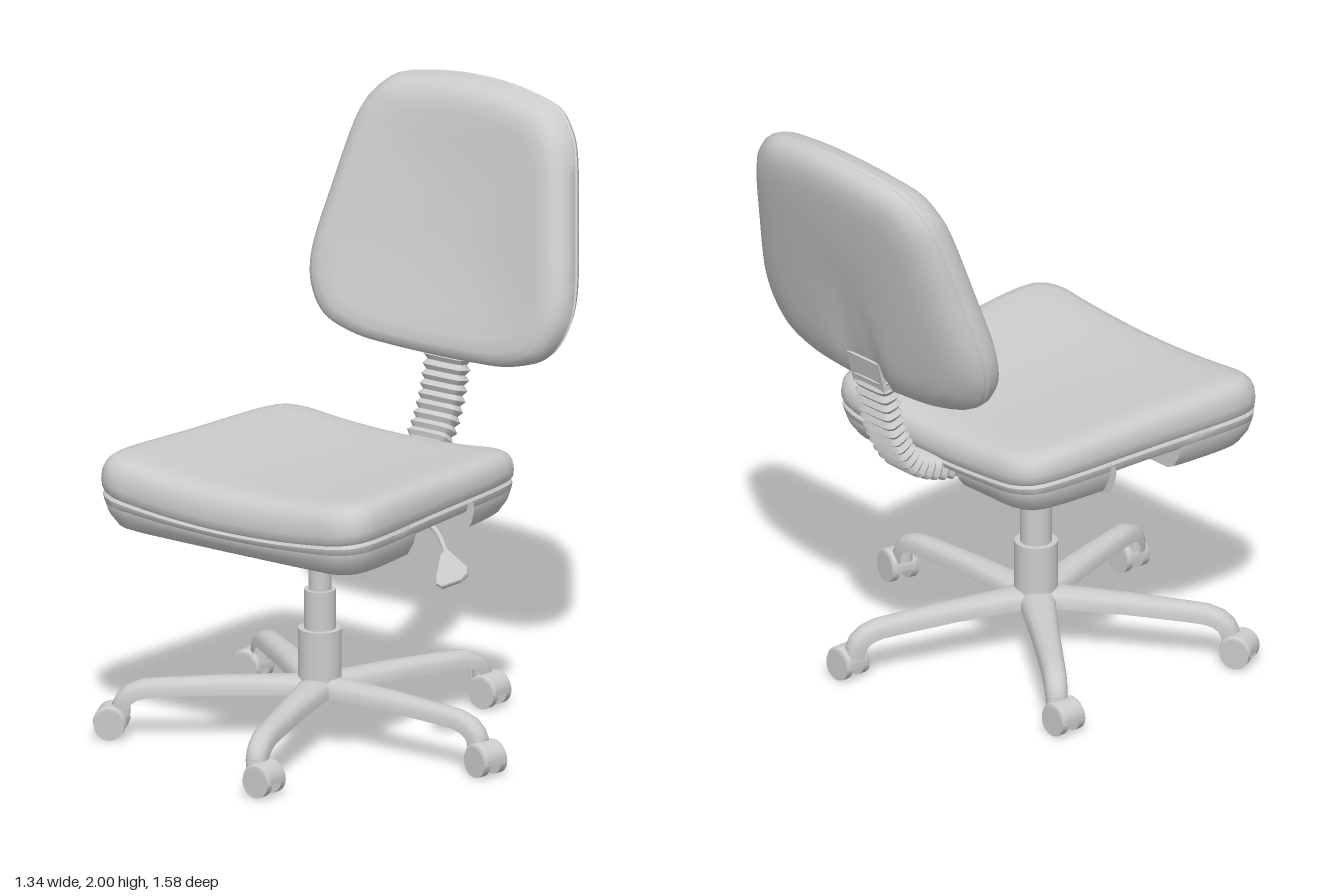
import * as THREE from 'three';
import { toCreasedNormals } from 'three/addons/utils/BufferGeometryUtils.js';

const CX = -0.06, CZ = 0.135; // axis of the column
const V = (x, y, z) => new THREE.Vector3(x, y, z);
const clamp = THREE.MathUtils.clamp;
const grey = new THREE.MeshStandardMaterial({ color: 0xcccccc });

function add(parent, name, geo, x = 0, y = 0, z = 0) {
  const m = new THREE.Mesh(geo, grey);
  m.name = name;
  m.position.set(x, y, z);
  parent.add(m);
  return m;
}

// Skin over equal-length closed rings, turned outward, with sharp edges kept.
function skin(rings, crease = 0.75) {
  const n = rings[0].length, pts = rings.flat(), tris = [];
  for (let i = 0; i < rings.length - 1; i++) for (let j = 0; j < n; j++) {
    const a = i * n + j, b = i * n + (j + 1) % n;
    tris.push([a, b, b + n], [a, b + n, a + n]);
  }
  const mid = pts.reduce((s, p) => s.add(p), V(0, 0, 0)).divideScalar(pts.length);
  let vol = 0;
  for (const t of tris) {
    const [a, b, c] = t.map(k => pts[k].clone().sub(mid));
    vol += a.dot(b.cross(c));
  }
  if (vol < 0) tris.forEach(t => t.reverse());
  const g = new THREE.BufferGeometry().setFromPoints(pts);
  g.setIndex(tris.flat());
  return toCreasedNormals(g, crease);
}

// Smooth outline mirrored about x = 0; half goes from the low to the high end.
function outline(half, n = 96) {
  const p = [...half, ...half.slice().reverse().map(([x, y]) => [-x, y])];
  const curve = new THREE.CatmullRomCurve3(p.map(([x, y]) => V(x, y, 0)), true, 'centripetal');
  return curve.getSpacedPoints(n).slice(0, n);
}

// Cushion: outline shrunk about (0, mid) for each [scale, height] pair.
const pad = (pts, mid, rings, place) =>
  skin(rings.map(([s, h]) => pts.map(p => place(p.x * s, mid + (p.y - mid) * s, h))));

function buildSeat(root) {
  const seat = new THREE.Group();
  seat.name = 'seat';
  const pts = outline([[0.25, -0.33], [0.40, -0.325], [0.46, -0.29], [0.483, -0.22], [0.51, 0.2],
    [0.53, 0.55], [0.515, 0.615], [0.46, 0.655], [0.36, 0.662]]);
  // Saddle: the sides rise, and the top tilts up to the front.
  const place = (x, z, h) => V(CX + x, h + 0.16 * x * x * clamp((h - 0.74) / 0.08, 0, 1)
    + 0.03 * (z - 0.165) * clamp((h - 0.84) / 0.1, 0, 1), z);
  add(seat, 'seatCushion', pad(pts, 0.165, [[0, 0.815], [0.975, 0.815], [0.995, 0.826], [1, 0.85], [0.995, 0.878],
    [0.975, 0.905], [0.94, 0.922], [0.88, 0.931], [0.75, 0.934], [0.55, 0.933], [0.3, 0.932], [0, 0.931]], place));
  add(seat, 'seatPan', pad(pts, 0.165, [[0, 0.82], [0.975, 0.82], [0.993, 0.81], [0.985, 0.795],
    [0.97, 0.79], [0.7, 0.792], [0.4, 0.795], [0, 0.795]], place));
  // Underside blocks leave a cross trough and a channel for the stalk.
  const under = [[0, 0.812], [0.98, 0.812], [0.985, 0.795], [0.965, 0.77], [0.92, 0.743], [0.86, 0.73], [0.5, 0.73], [0, 0.73]];
  add(seat, 'frontUnderside', pad(pts, 0.165, under, (x, z, h) => place(x, Math.max(z, 0.3), h)));
  for (const s of [-1, 1]) add(seat, 'rearUnderside', pad(pts, 0.165, under,
    (x, z, h) => place(s * Math.max(s * x, 0.13), Math.min(z, 0.01), h)));
  root.add(seat);
}

function buildBackrest(root) {
  const pts = outline([[0.16, 1.13], [0.31, 1.145], [0.43, 1.19], [0.49, 1.27], [0.51, 1.37], [0.468, 1.62],
    [0.413, 1.85], [0.385, 1.9], [0.32, 1.96], [0.2, 1.987], [0.07, 2.0]], 160);
  const place = (x, y, d) => {
    let z = -0.54 - 0.25 * (y - 1.2) + d + 0.15 * x * x;
    // Soft hollow above the stalk on the rear face
    if (d < -0.03) z += 0.025 * Math.exp(-((x / 0.1) ** 4)) * clamp((1.65 - y) / 0.45, 0, 1);
    return V(CX + x, y, z);
  };
  add(root, 'backrest', pad(pts, 1.55, [[0, -0.077], [0.15, -0.077], [0.3, -0.077], [0.45, -0.077], [0.6, -0.076], [0.72, -0.074],
    [0.84, -0.067], [0.92, -0.052], [0.97, -0.03], [0.995, -0.008], [0.985, -0.002], [0.985, 0.002], [1, 0.012], [0.992, 0.042],
    [0.97, 0.068], [0.93, 0.087], [0.87, 0.096], [0.78, 0.096], [0.6, 0.088], [0.35, 0.08], [0, 0.077]], place));
  add(root, 'backrestSocket', new THREE.BoxGeometry(0.15, 0.11, 0.05), CX, 1.2, -0.575).rotation.x = -0.25;
}

// Ribbed sleeve that curves from under the seat up to the backrest
function buildStalk(root) {
  const path = new THREE.CatmullRomCurve3([V(0, 0.775, 0), V(0, 0.77, -0.2), V(0, 0.785, -0.325),
    V(0, 0.84, -0.435), V(0, 0.95, -0.505), V(0, 1.1, -0.548), V(0, 1.19, -0.56)]);
  const ribs = 25, steps = ribs * 4, rings = [];
  for (let i = 0; i <= steps; i++) {
    const c = path.getPointAt(i / steps), t = path.getTangentAt(i / steps);
    const up = V(0, -t.z, t.y), grow = -0.006 * (1 + Math.cos(i * Math.PI / 2));
    rings.push(Array.from({ length: 24 }, (_, k) => {
      const a = k / 24 * Math.PI * 2, r = q => Math.sign(q) * Math.abs(q) ** 0.45;
      return c.clone().addScaledVector(up, r(Math.sin(a)) * (0.04 + grow)).add(V(CX + r(Math.cos(a)) * (0.08 + grow), 0, 0));
    }));
  }
  add(root, 'ribbedStalk', skin(rings, 1.1));
}

function buildMechanism(root) {
  const g = new THREE.Group();
  g.name = 'mechanism';
  add(g, 'mountPlate', new THREE.BoxGeometry(0.2, 0.02, 0.24), CX, 0.795, 0.12);
  add(g, 'tiltHousing', new THREE.BoxGeometry(0.11, 0.04, 0.18), CX, 0.78, 0.11);
  for (const z of [0.03, 0.21]) add(g, 'crossBar', new THREE.BoxGeometry(0.3, 0.025, 0.03), CX, 0.79, z);
  for (const s of [-1, 1]) add(g, 'tiltBracket', new THREE.BoxGeometry(0.012, 0.07, 0.05), CX + s * 0.085, 0.77, 0.025);
  add(g, 'tensionKnob', new THREE.CylinderGeometry(0.022, 0.022, 0.14, 16), CX, 0.755, 0.03).rotation.z = Math.PI / 2;
  // Height lever: bent rod and a flat, slanted paddle
  const rod = new THREE.CatmullRomCurve3([V(CX, 0.785, 0.12), V(0.2, 0.785, 0.12), V(0.38, 0.785, 0.125), V(0.44, 0.75, 0.15), V(0.52, 0.69, 0.215)]);
  add(g, 'leverRod', new THREE.TubeGeometry(rod, 32, 0.009, 8));
  const blade = new THREE.Shape([[0, 0], [0.1, -0.045], [0.112, -0.065], [0.102, -0.09], [0.05, -0.125],
    [0.03, -0.12], [0.018, -0.1], [-0.006, -0.02]].map(([x, y]) => new THREE.Vector2(x, y)));
  const paddle = new THREE.ExtrudeGeometry(blade, { depth: 0.008, bevelSize: 0.006, bevelThickness: 0.006, bevelSegments: 3 });
  add(g, 'leverPaddle', paddle, 0.475, 0.73, 0.17).rotation.x = -0.8;
  root.add(g);
}

function buildBase(root) {
  const base = new THREE.Group();
  base.name = 'base';
  base.position.set(CX, 0, CZ);
  // Gas column in three stages on the hub
  for (const [name, r, y0, y1] of [['hub', 0.072, 0.17, 0.205], ['columnSleeve', 0.07, 0.19, 0.37],
    ['columnMiddle', 0.051, 0.36, 0.5], ['columnRod', 0.037, 0.48, 0.79], ['columnFoot', 0.05, 0.153, 0.2]])
    add(base, name, new THREE.CylinderGeometry(r, r, y1 - y0, 32), 0, (y0 + y1) / 2, 0);

  // Leg stations: radius, height, pitch, width; the section is an upturned channel.
  const stations = [[0.02, 0.185, 0, 0.125], [0.1, 0.184, 0, 0.11], [0.3, 0.181, -0.03, 0.09], [0.5, 0.172, -0.06, 0.078],
    [0.56, 0.168, -0.15, 0.076], [0.6, 0.155, -0.55, 0.074], [0.625, 0.135, -1.0, 0.072], [0.638, 0.11, -1.4, 0.07], [0.64, 0.08, -1.55, 0.066]];
  const section = [[-0.5, -0.027], [-0.49, 0], [-0.4, 0.016], [-0.22, 0.025], [0, 0.027], [0.22, 0.025], [0.4, 0.016],
    [0.49, 0], [0.5, -0.027], [0.47, -0.027], [0.4, 0.01], [-0.4, 0.01], [-0.47, -0.027]];
  const legGeo = skin(stations.map(([r, y, a, w]) =>
    section.map(([t, n]) => V(r - Math.sin(a) * n, y + Math.cos(a) * n, t * w))));

  const hoodGeo = new THREE.ExtrudeGeometry(new THREE.Shape().absarc(0, 0, 0.044, 0, Math.PI),
    { depth: 0.074, bevelSize: 0.01, bevelThickness: 0.01, bevelSegments: 3, curveSegments: 20 });
  hoodGeo.translate(0, 0, -0.037);
  const wheelGeo = new THREE.CylinderGeometry(0.05, 0.05, 0.026, 24).rotateX(Math.PI / 2);
  const stemGeo = new THREE.CylinderGeometry(0.03, 0.03, 0.04, 16);
  const yaw = [-0.2, 0, Math.PI, Math.PI + 0.46, 0];

  for (let k = 0; k < 5; k++) {
    const a = k * Math.PI * 2 / 5;
    add(base, 'leg', legGeo).rotation.y = a;
    const caster = new THREE.Group();
    caster.name = 'caster';
    caster.position.set(0.635 * Math.cos(a), 0, -0.635 * Math.sin(a));
    caster.rotation.y = yaw[k];
    add(caster, 'casterStem', stemGeo, 0, 0.1, 0);
    add(caster, 'casterHood', hoodGeo, 0.032, 0.058, 0);
    for (const s of [-1, 1]) add(caster, 'casterWheel', wheelGeo, 0.032, 0.05, s * 0.036);
    base.add(caster);
  }
  root.add(base);
}

export function createModel() {
  const root = new THREE.Group();
  root.name = 'officeChair';
  buildSeat(root);
  buildBackrest(root);
  buildStalk(root);
  buildMechanism(root);
  buildBase(root);
  return root;
}
